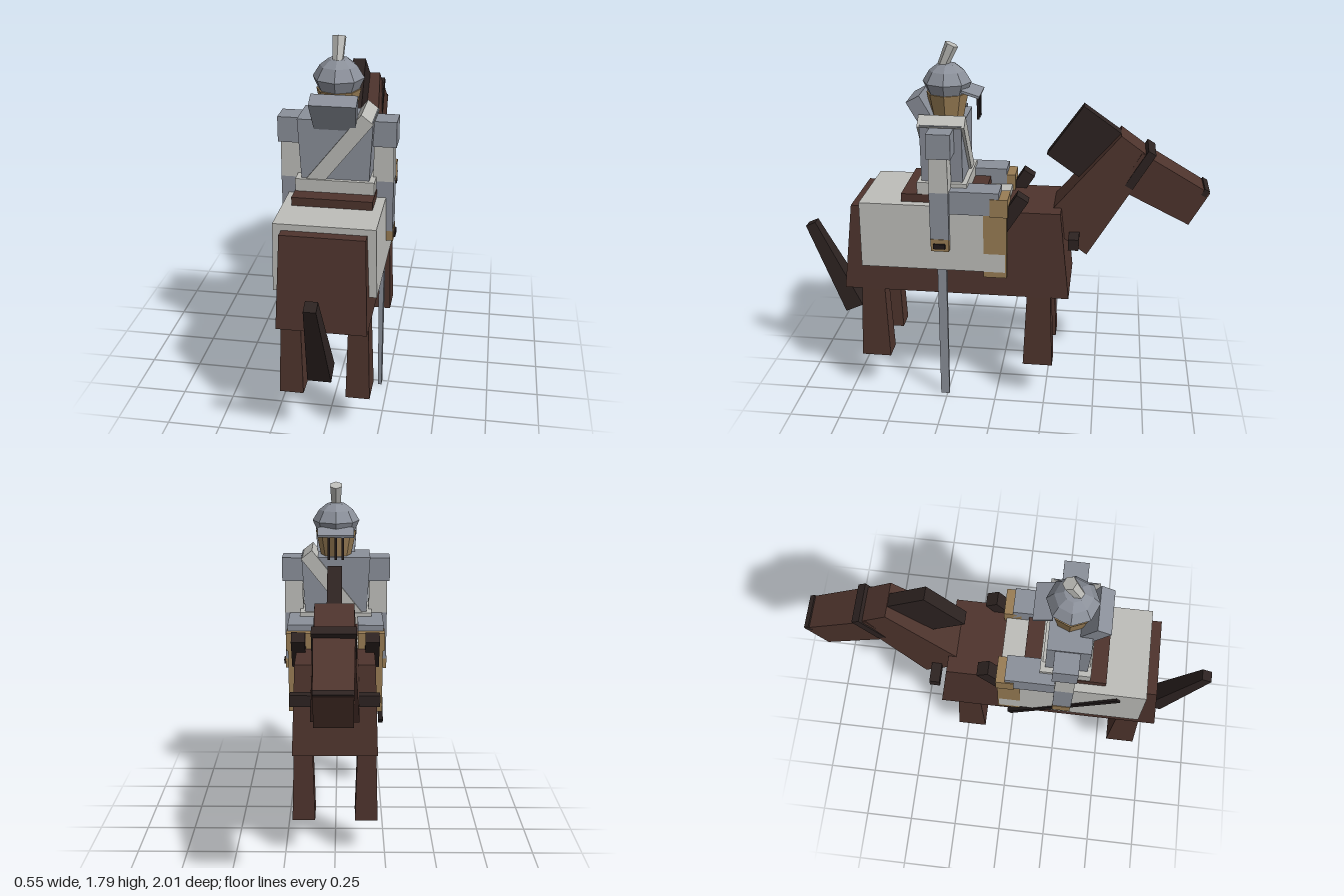
import * as THREE from 'three';

const mat = (name, color) => {
  const m = new THREE.MeshStandardMaterial({ color });
  m.name = name;
  return m;
};

export function createModel() {
  const brown = mat('horse brown', 0x4e342d);
  const dark = mat('dark hair and leather', 0x2d2321);
  const steel = mat('steel grey', 0x8b909a);
  const light = mat('light cloth', 0xbdbdb9);
  const tan = mat('tan', 0x997d55);
  const black = mat('black', 0x211a1a);

  const model = new THREE.Group();
  model.name = 'mountedRider';

  const add = (name, geo, material) => {
    const g = geo.index ? geo.toNonIndexed() : geo;
    g.computeVertexNormals();
    const mesh = new THREE.Mesh(g, material);
    mesh.name = name;
    model.add(mesh);
    return mesh;
  };

  // Tapered box running from a to b, both [y, z]; sizes are [width, depth] at each end
  const beam = (name, material, x, a, b, sizeA, sizeB = sizeA) => {
    const dy = b[0] - a[0], dz = b[1] - a[1];
    const geo = new THREE.BoxGeometry(1, Math.hypot(dy, dz), 1);
    const p = geo.attributes.position;
    for (let i = 0; i < p.count; i++) {
      const s = p.getY(i) < 0 ? sizeA : sizeB;
      p.setX(i, p.getX(i) * s[0]);
      p.setZ(i, p.getZ(i) * s[1]);
    }
    const mesh = add(name, geo, material);
    mesh.position.set(x, (a[0] + b[0]) / 2, (a[1] + b[1]) / 2);
    mesh.rotation.x = Math.atan2(dz, dy);
    return mesh;
  };

  // Axis-aligned box from its limits
  const box = (name, material, [x0, x1], [y0, y1], [z0, z1]) =>
    beam(name, material, (x0 + x1) / 2, [y0, (z0 + z1) / 2], [y1, (z0 + z1) / 2], [x1 - x0, z1 - z0]);

  // Mirrored pair of boxes
  const pair = (name, material, [x0, x1], ys, zs) => {
    box(name + 'Left', material, [x0, x1], ys, zs);
    box(name + 'Right', material, [-x1, -x0], ys, zs);
  };

  // Horse
  beam('horseBody', brown, 0, [0.58, 0.2], [1.02, 0.2], [0.41, 1.12], [0.38, 1.02]);
  for (const side of [1, -1]) {
    for (const [name, z] of [['hindLeg', 0.618], ['foreLeg', -0.213]]) {
      beam(name, brown, side * 0.155, [0.2, z], [0.6, z], [0.112, 0.148], [0.09, 0.115]);
    }
  }
  beam('neck', brown, 0, [0.866, -0.324], [1.33, -0.657], [0.23, 0.28], [0.17, 0.19]);
  beam('horseHead', brown, 0, [1.215, -0.63], [1.035, -0.963], [0.18, 0.21], [0.165, 0.186]);
  beam('mane', dark, 0, [1.187, -0.341], [1.43, -0.511], [0.065, 0.274]);
  beam('tail', dark, 0, [0.38, 0.767], [0.837, 0.978], [0.108, 0.1], [0.055, 0.055]);

  // Harness
  beam('halter', dark, 0, [1.135, -0.625], [1.31, -0.727], [0.192, 0.042]);
  beam('noseBand', dark, 0, [1.125, -0.975], [1.112, -0.998], [0.168, 0.034]);
  box('chestStrap', dark, [-0.21, 0.21], [0.845, 0.9], [-0.4, -0.35]);
  for (const side of [1, -1]) {
    beam('holster', dark, side * 0.18, [0.92, -0.015], [1.1, -0.13], [0.068, 0.065]);
  }

  // Saddle cloth and saddle
  beam('saddleCloth', light, 0, [0.72, 0.305], [1.05, 0.305], [0.47, 0.71], [0.456, 0.71]);
  box('saddle', brown, [-0.185, 0.185], [1.04, 1.09], [0.06, 0.46]);

  // Rider's legs
  pair('thigh', steel, [0.11, 0.237], [1.015, 1.13], [-0.02, 0.25]);
  pair('knee', tan, [0.11, 0.242], [1.01, 1.1], [-0.063, 0.023]);
  pair('shin', tan, [0.13, 0.233], [0.69, 1.03], [-0.057, 0.055]);

  // Rider's trunk
  box('coatSkirt', light, [-0.182, 0.182], [1.09, 1.15], [0.14, 0.382]);
  beam('torso', steel, 0, [1.13, 0.263], [1.43, 0.263], [0.31, 0.2], [0.345, 0.2]);
  const belt = add('crossBelt', new THREE.BoxGeometry(0.07, 0.41, 0.225), light);
  belt.position.set(0.02, 1.285, 0.262);
  belt.rotation.z = -0.67;

  // Rider's arms
  pair('shoulder', steel, [0.165, 0.273], [1.3, 1.42], [0.2, 0.315]);
  for (const side of [1, -1]) {
    beam('upperArm', light, side * 0.215, [1.13, 0.263], [1.3, 0.263], [0.096, 0.093], [0.09, 0.086]);
    beam('forearm', steel, side * 0.215, [0.88, 0.263], [1.13, 0.263], [0.092, 0.09], [0.094, 0.092]);
  }
  pair('hand', tan, [0.172, 0.264], [0.83, 0.892], [0.218, 0.306]);

  // Sword in the hand and scabbard on the other side
  beam('blade', steel, 0.21, [0, 0.262], [0.84, 0.262], [0.018, 0.044], [0.026, 0.044]);
  box('swordGrip', black, [0.2, 0.273], [0.845, 0.87], [0.235, 0.293]);
  beam('scabbard', black, -0.229, [0.615, 0], [1.0, 0.53], [0.024, 0.03]);

  // Rider's head
  const face = add('face', new THREE.CylinderGeometry(0.102, 0.075, 0.13, 8), tan);
  face.position.set(0, 1.485, 0.255);
  const profile = [[0, 1.535], [0.09, 1.54], [0.118, 1.602], [0.085, 1.655], [0.045, 1.686], [0, 1.69]]
    .map(([r, y]) => new THREE.Vector2(r, y));
  add('helmet', new THREE.LatheGeometry(profile, 8), steel).position.z = 0.255;
  const crest = add('crest', new THREE.CylinderGeometry(0.033, 0.024, 0.14, 6), light);
  crest.position.set(0, 1.715, 0.258);
  crest.rotation.x = -0.42;
  beam('neckGuard', steel, 0, [1.405, 0.333], [1.537, 0.405], [0.19, 0.072], [0.212, 0.072]);
  beam('visor', steel, 0, [1.548, 0.09], [1.575, 0.175], [0.18, 0.012]);
  for (const x of [-0.035, 0, 0.035]) {
    box('faceBar', black, [x - 0.006, x + 0.006], [1.43, 1.553], [0.096, 0.108]);
  }

  return model;
}
